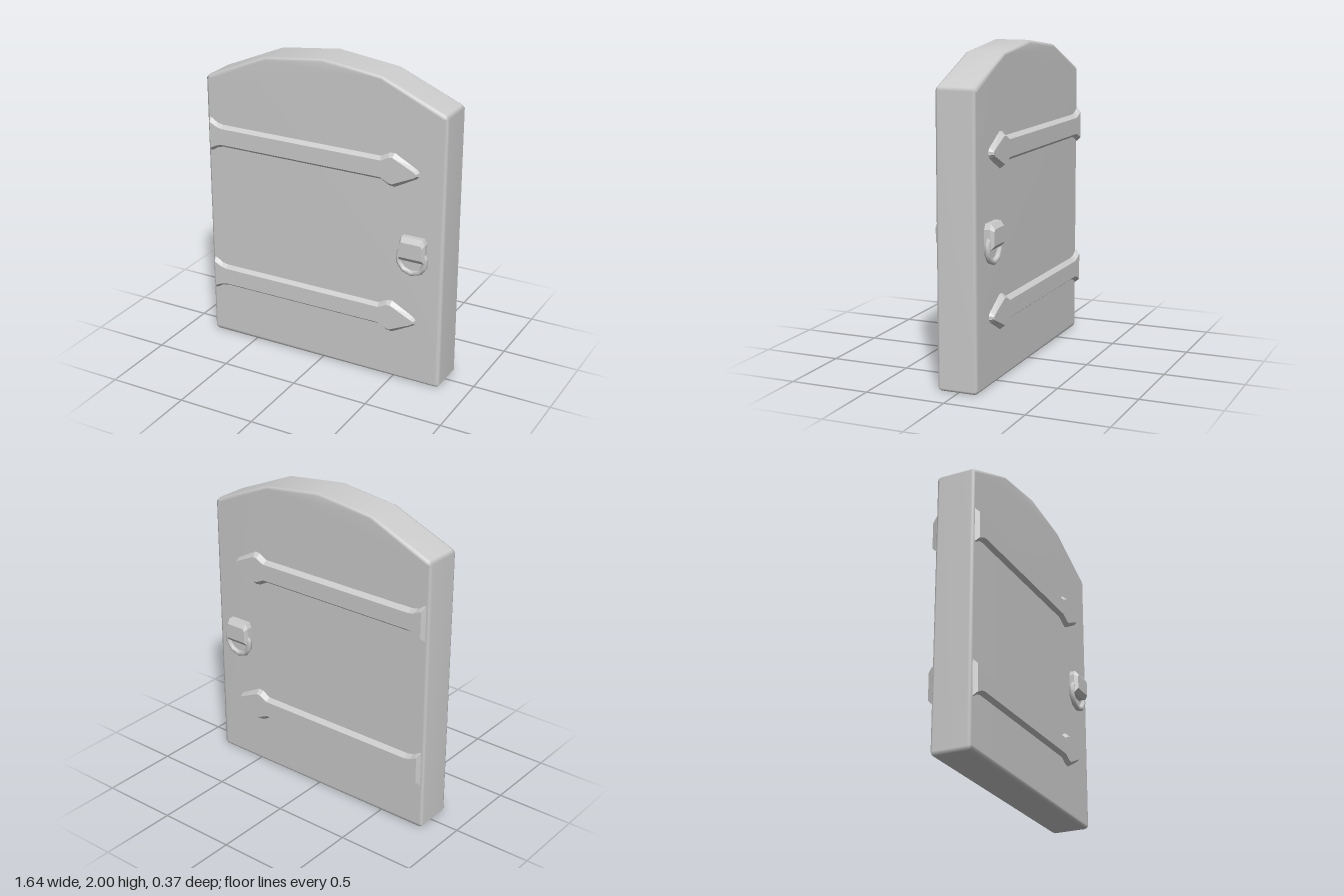
import * as THREE from 'three';
import { mergeVertices } from 'three/addons/utils/BufferGeometryUtils.js';

const material = new THREE.MeshStandardMaterial({ color: 0xcccccc });

function mesh(geometry, name) {
  const m = new THREE.Mesh(geometry, material);
  m.name = name;
  return m;
}

// Flat-shaded solid through matching outlines [[x, y], ...] (counter-clockwise), each at its own z
function loft(outlines, zs) {
  const pos = [];
  const put = (k, i) => pos.push(outlines[k][i][0], outlines[k][i][1], zs[k]);
  const n = outlines[0].length, last = outlines.length - 1;
  for (let k = 0; k < last; k++) {
    for (let i = 0; i < n; i++) {
      const j = (i + 1) % n;
      put(k, i); put(k, j); put(k + 1, j);
      put(k, i); put(k + 1, j); put(k + 1, i);
    }
  }
  const cap = (k) => THREE.ShapeUtils.triangulateShape(outlines[k].map(p => new THREE.Vector2(...p)), []);
  for (const [a, b, c] of cap(last)) { put(last, a); put(last, b); put(last, c); }
  for (const [a, b, c] of cap(0)) { put(0, a); put(0, c); put(0, b); }
  const g = new THREE.BufferGeometry();
  g.setAttribute('position', new THREE.Float32BufferAttribute(pos, 3));
  g.computeVertexNormals();
  return g;
}

// Closed outline from its upper half, listed left to right
function mirrorY(half) {
  return [...half.map(([x, y]) => [x, -y]), ...half.slice().reverse()];
}

// Door slab with a faceted arched top, softly shaded over a small bevel
function makeSlab() {
  const half = [[0.8, 0], [0.82, 0.02], [0.82, 1.76], [0.802, 1.78], [0.395, 1.952]];
  const outline = [...half, [0, 2], ...half.slice().reverse().map(([x, y]) => [-x, y])];
  const bevel = 0.02;
  let g = new THREE.ExtrudeGeometry(new THREE.Shape(outline.map(p => new THREE.Vector2(...p))), {
    depth: 0.251 - 2 * bevel, bevelEnabled: true, bevelSize: bevel,
    bevelThickness: bevel, bevelOffset: -bevel, bevelSegments: 2,
  });
  g.translate(0, 0, -0.121 + bevel);
  g.deleteAttribute('uv');
  g.deleteAttribute('normal');
  g = mergeVertices(g, 1e-4);
  g.computeVertexNormals();
  return mesh(g, 'doorSlab');
}

// Hinge strap: flared at the hinge end, arrow-shaped at the other
function makeStrapGeometry() {
  const base = mirrorY([[-0.802, 0.114], [-0.785, 0.109], [-0.745, 0.084], [-0.705, 0.0755],
    [0.4, 0.0755], [0.455, 0.106], [0.49, 0.11], [0.635, 0.032], [0.653, 0.012]]);
  const face = mirrorY([[-0.787, 0.085], [-0.775, 0.08], [-0.738, 0.061], [-0.7, 0.053],
    [0.405, 0.053], [0.46, 0.08], [0.485, 0.083], [0.625, 0.018], [0.64, 0.007]]);
  return loft([base, face], [0.127, 0.157]);
}

// Handle: chamfered block holding a low-poly ring, centred on its own x
function makeHandle(name) {
  const block = (w, y0, y1, cut) => [[-w, y0], [w, y0], [w, y1 - 2 * cut], [w - cut, y1],
    [-w + cut, y1], [-w, y1 - 2 * cut]];
  const full = block(0.085, 0.84, 0.995, 0.016);
  const group = new THREE.Group();
  group.name = name;
  group.add(mesh(loft([full, full, block(0.073, 0.868, 0.965, 0.008)], [0.127, 0.163, 0.187]), 'handleBlock'));
  const ring = new THREE.TorusGeometry(0.091, 0.018, 8, 10);
  ring.rotateZ(Math.PI / 10);
  ring.translate(-0.004, 0.85, 0.15);
  group.add(mesh(ring, 'handleRing'));
  return group;
}

export function createModel() {
  const model = new THREE.Group();
  model.name = 'door';
  model.add(makeSlab());

  const strap = makeStrapGeometry();
  for (const [level, y] of [['upper', 1.394], ['lower', 0.425]]) {
    for (const side of ['Front', 'Back']) {
      const m = mesh(strap, `${level}${side}Strap`);
      m.position.y = y;
      if (side === 'Back') m.rotation.x = Math.PI;
      model.add(m);
    }
  }

  for (const side of ['front', 'back']) {
    const handle = makeHandle(`${side}Handle`);
    handle.position.x = 0.629;
    if (side === 'back') handle.rotation.y = Math.PI;
    model.add(handle);
  }
  return model;
}
